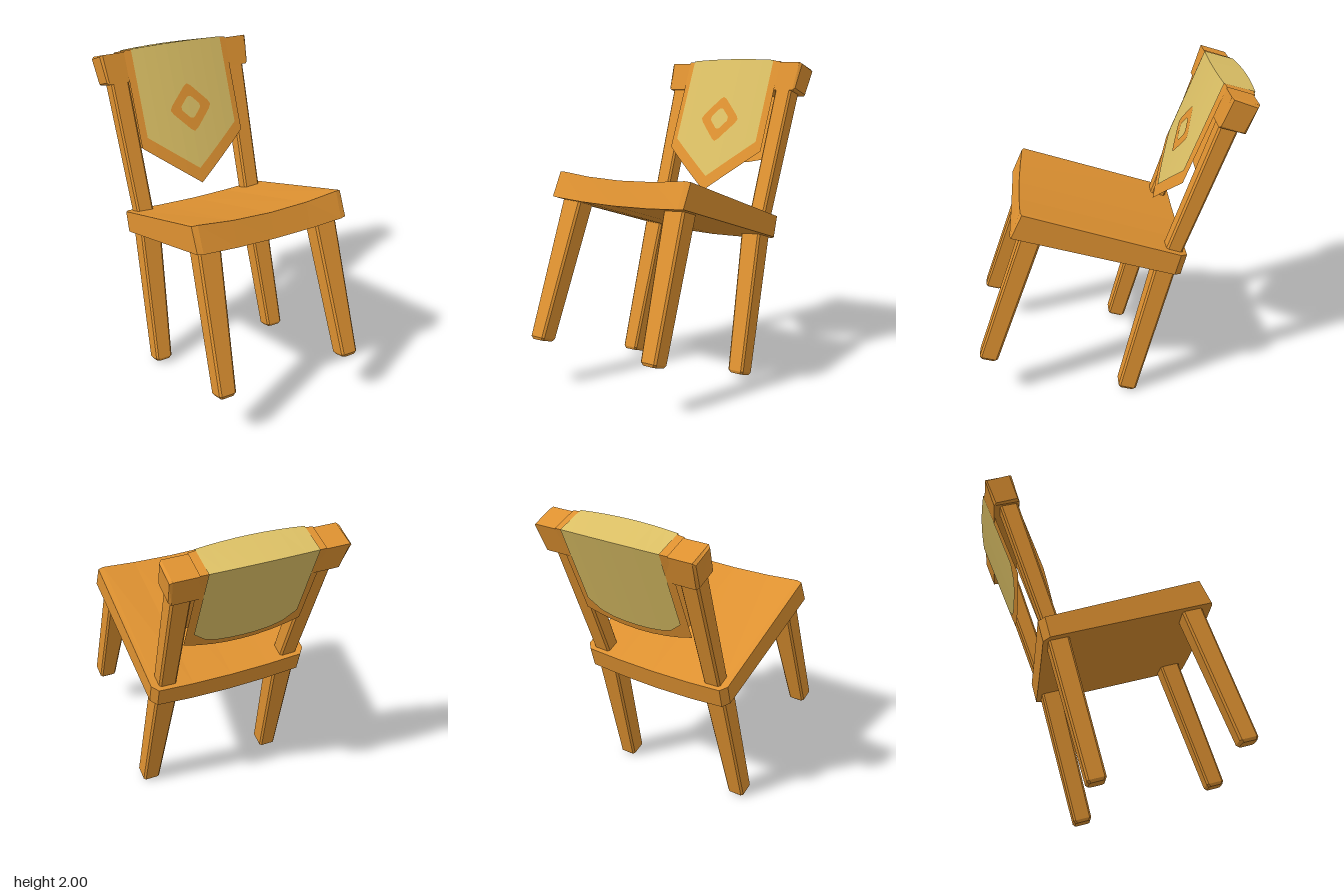
import * as THREE from 'three';

const wood = new THREE.MeshStandardMaterial({ color: 0xdf9231, flatShading: true });
wood.name = 'orange wood';
const cloth = new THREE.MeshStandardMaterial({ color: 0xdf9231, flatShading: true, side: THREE.DoubleSide });
cloth.name = 'orange cloth';
const straw = new THREE.MeshStandardMaterial({ color: 0xdcc065, flatShading: true, side: THREE.DoubleSide });
straw.name = 'straw yellow';

function meshFrom(name, points, index, material) {
  const geo = new THREE.BufferGeometry();
  geo.setAttribute('position', new THREE.Float32BufferAttribute(points.flat(), 3));
  geo.setIndex(index);
  const flat = geo.toNonIndexed();
  flat.computeVertexNormals();
  const mesh = new THREE.Mesh(flat, material);
  mesh.name = name;
  return mesh;
}

// Closed solid through a list of equal-sized rings, turned outward by its signed volume
function loft(name, rings) {
  const n = rings[0].length, pts = rings.flat(), tris = [];
  for (let r = 0; r < rings.length - 1; r++) {
    for (let i = 0; i < n; i++) {
      const a = r * n + i, b = r * n + (i + 1) % n;
      tris.push([a, b, b + n], [a, b + n, a + n]);
    }
  }
  const last = (rings.length - 1) * n;
  for (let i = 1; i < n - 1; i++) tris.push([0, i + 1, i], [last, last + i, last + i + 1]);
  const v = pts.map((p) => new THREE.Vector3(...p));
  const volume = tris.reduce((s, [a, b, c]) => s + v[a].dot(v[b].clone().cross(v[c])), 0);
  if (volume < 0) tris.forEach((t) => t.reverse());
  return meshFrom(name, pts, tris.flat(), wood);
}

// Open strip between two rows of points
function strip(name, rowA, rowB, material) {
  const n = rowA.length, idx = [];
  for (let i = 0; i < n - 1; i++) idx.push(i, n + i, n + i + 1, i, n + i + 1, i + 1);
  return meshFrom(name, [...rowA, ...rowB], idx, material);
}

// Tapered, leaning beam with chamfered edges: each end is [x, y, z, width, depth]
function limb(name, bottom, top) {
  const ring = (t, shrink) => {
    const [x, y, z, w, d] = bottom.map((b, i) => b + (top[i] - b) * t);
    const u = w / 2 - shrink, v = d / 2 - shrink, c = 0.012;
    return [[u, v - c], [u - c, v], [c - u, v], [-u, v - c], [-u, c - v], [c - u, -v], [u - c, -v], [u, c - v]]
      .map(([a, b]) => [x + a, y + b * 0.27, z + b * 0.96]);
  };
  return loft(name, [ring(0, 0.01), ring(0.018, 0), ring(1, 0)]);
}

// Cloth surfaces: front flap, back flap, and the edge heights where they fold over the rail
const bow = (x) => (x / 0.36) ** 2;
const front = (x, y, off = 0) => [x, y + off * 0.4, -0.295 - 0.395 * (y - 1.14) - 0.022 * bow(x) + off];
const back = (x, y, off = 0) => [x, y - off * 0.4, -0.83 + 0.41 * (1.94 - y) + 0.014 * bow(x) - off];
const foldFront = (x) => 2.0 - 0.012 * bow(x);
const foldBack = (x) => 1.945 - 0.008 * bow(x);
const columns = (half, n = 8) => Array.from({ length: n + 1 }, (_, i) => half * (2 * i / n - 1));

export function createModel() {
  const model = new THREE.Group();
  model.name = 'chair';

  // Seat: slanted slab sagging in the middle, with clipped rear corners
  const seatRing = (x, clip) => {
    const s = 1 - (x / 0.505) ** 2;
    return [
      [x, 1.305 - 0.03 * s - clip * 0.2, 0.53 + 0.015 * s - clip * 0.2],
      [x, 1.15 - 0.02 * s, 0.6 - clip * 0.2],
      [x, 0.855 - 0.025 * s + clip * 0.3, -0.415 + clip],
      [x, 0.985 - 0.02 * s + clip * 0.3, -0.45 + clip],
    ];
  };
  model.add(loft('seat', [[-0.505, 0.04], [-0.47, 0], [-0.25, 0], [0, 0], [0.25, 0], [0.47, 0], [0.505, 0.04]]
    .map(([x, c]) => seatRing(x, c))));

  // Legs and back posts, mirrored left and right
  for (const [side, s] of [['left', 1], ['right', -1]]) {
    model.add(
      limb(side + 'FrontLeg', [s * 0.435, 0.285, 0.775, 0.11, 0.115], [s * 0.395, 1.17, 0.46, 0.15, 0.13]),
      limb(side + 'BackLeg', [s * 0.435, 0.018, -0.095, 0.11, 0.115], [s * 0.395, 0.92, -0.333, 0.14, 0.13]),
      limb(side + 'BackPost', [s * 0.4, 0.93, -0.35, 0.11, 0.1], [s * 0.42, 1.85, -0.677, 0.12, 0.115]),
    );
  }

  // Top rail: ends flare upward and are slightly bevelled
  const railRing = (x, e) => [
    [x, 1.98 - e, -0.65 - e], [x * 0.97, 1.8 + e, -0.59 - e],
    [x * 0.97, 1.755 + e, -0.745 + e], [x, 1.93 - e, -0.81 + e],
  ];
  model.add(loft('topRail', [[-0.525, 0.012], [-0.51, 0], [0, 0], [0.51, 0], [0.525, 0.012]]
    .map(([x, e]) => railRing(x, e))));

  // Draped cloth: pointed front flap, fold over the rail, shorter back flap
  const xs = columns(0.365);
  const frontHem = (x) => 1.14 + 0.73 * Math.abs(x);
  const backHem = (x) => 1.305 + 0.055 * bow(x);
  model.add(
    strip('clothFront', xs.map((x) => front(x, foldFront(x))), xs.map((x) => front(x, frontHem(x))), cloth),
    strip('clothFold', xs.map((x) => back(x, foldBack(x))), xs.map((x) => front(x, foldFront(x))), cloth),
    strip('clothBack', xs.map((x) => back(x, backHem(x))), xs.map((x) => back(x, foldBack(x))), cloth),
  );

  // Yellow panel laid just above the cloth, leaving an orange border
  const ys = columns(0.32), o = 0.006;
  const fold = (p) => [p[0], p[1] + o * 0.4, p[2]];
  const topF = ys.map((x) => fold(front(x, foldFront(x), o)));
  const topB = ys.map((x) => fold(back(x, foldBack(x), o))).map(([x, y, z]) => [x, y + o * 0.6, z]);
  model.add(
    strip('panelFront', topF, ys.map((x) => front(x, frontHem(x) + 0.09, o)), straw),
    strip('panelFold', topB, topF, straw),
    strip('panelBack', ys.map((x) => back(x, backHem(x) + 0.045 + 0.06 * (x / 0.32) ** 6, o)), topB, straw),
  );

  // Diamond ring with blunt corners and an open centre
  const outer = [], inner = [];
  for (let i = 0; i <= 32; i++) {
    const a = -i / 32 * Math.PI * 2, c = Math.cos(a), s = Math.sin(a);
    const r = Math.min(0.155 / (Math.abs(c) + Math.abs(s)), 0.145);
    const q = Math.min(0.078 / (Math.abs(c) + Math.abs(s)), 0.066);
    outer.push(front(0.01 + c * r, 1.603 + s * r, 0.011));
    inner.push(front(0.01 + c * q, 1.605 + s * q, 0.011));
  }
  model.add(strip('diamondEmblem', outer, inner, cloth));

  return model;
}
